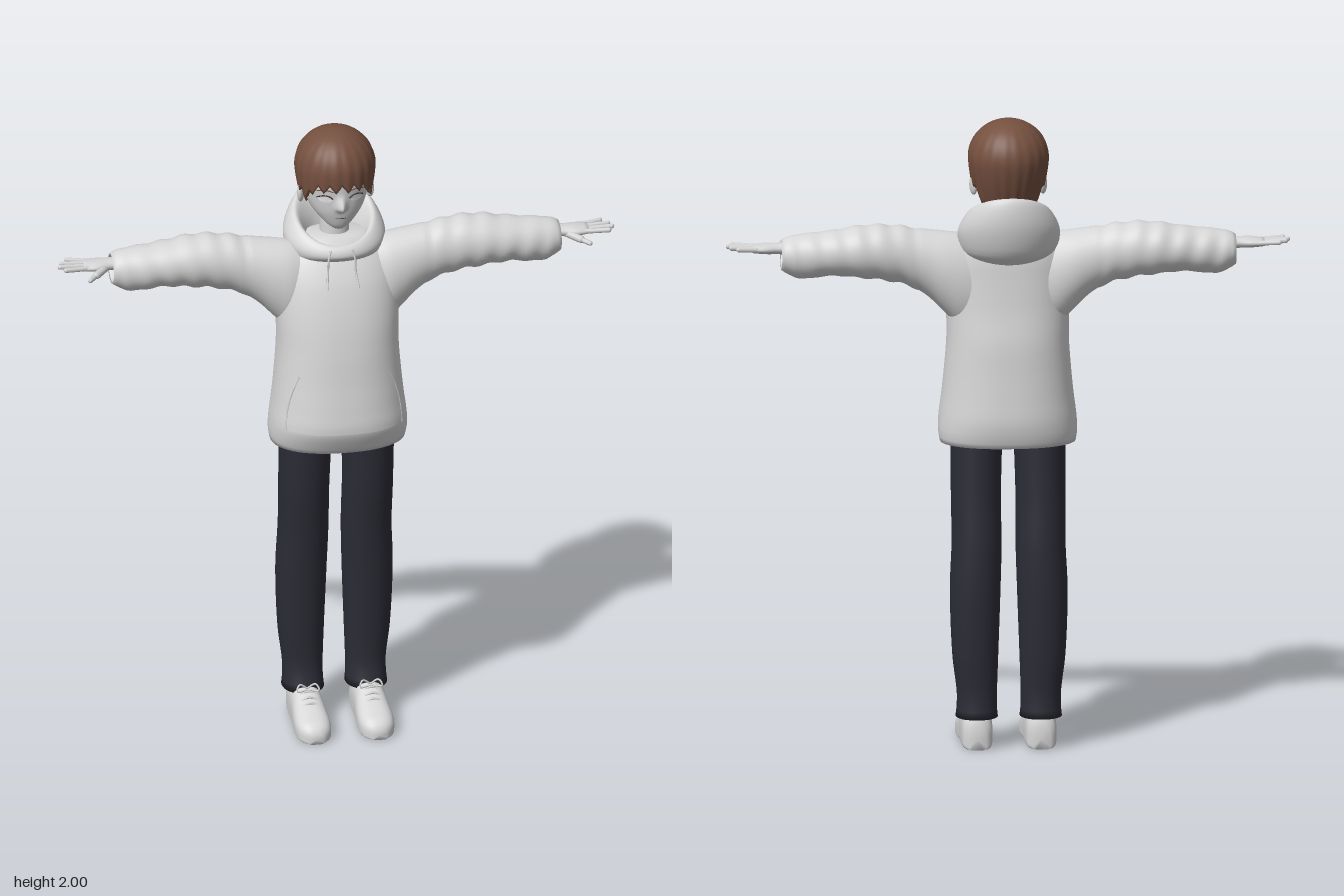
import * as THREE from 'three';

const V = (x, y, z) => new THREE.Vector3(x, y, z);
const mat = (name, color, double) => {
  const m = new THREE.MeshStandardMaterial({ color });
  m.name = name;
  if (double) m.side = THREE.DoubleSide;
  return m;
};

// Smooth interpolation of rows [t, a, b, ...] with increasing t
function sample(rows, t) {
  let i = 0;
  while (i < rows.length - 2 && t > rows[i + 1][0]) i++;
  const p = rows[i], q = rows[i + 1], o = rows[Math.max(i - 1, 0)], n = rows[Math.min(i + 2, rows.length - 1)];
  const h = q[0] - p[0], u = (t - p[0]) / h;
  return p.slice(1).map((a, k) => {
    const b = q[k + 1];
    const ma = (b - o[k + 1]) / (q[0] - o[0]) * h, mb = (n[k + 1] - a) / (n[0] - p[0]) * h;
    return a + u * (ma + u * (3 * (b - a) - 2 * ma - mb + u * (2 * (a - b) + ma + mb)));
  });
}
const steps = (rows, n) => Array.from({ length: n + 1 }, (_, i) => rows[0][0] + (rows.at(-1)[0] - rows[0][0]) * i / n);
const pow = (v, n) => Math.sign(v) * Math.abs(v) ** (2 / n);
const ring = (n, f) => Array.from({ length: n }, (_, j) => f(j / n * Math.PI * 2));

// Skin over closed rings, with optional end caps
function loft(rings, cap = true) {
  const n = rings[0].length, pts = rings.flat(), idx = [];
  for (let i = 0; i < rings.length - 1; i++) for (let j = 0; j < n; j++) {
    const a = i * n + j, b = i * n + (j + 1) % n;
    idx.push(a, b, b + n, a, b + n, a + n);
  }
  if (cap) for (const [start, flip] of [[0, true], [(rings.length - 1) * n, false]]) {
    const c = V(0, 0, 0);
    for (let j = 0; j < n; j++) c.addScaledVector(pts[start + j], 1 / n);
    for (let j = 0; j < n; j++) {
      const a = start + j, b = start + (j + 1) % n;
      flip ? idx.push(b, a, pts.length) : idx.push(a, b, pts.length);
    }
    pts.push(c);
  }
  const g = new THREE.BufferGeometry().setFromPoints(pts);
  g.setIndex(idx);
  g.computeVertexNormals();
  return g;
}

// Upright form from rows [y, halfWidth, zFront, zBack, xCentre]
function upright(rows, n, seg, e) {
  return steps(rows, n).map(y => {
    const [w, f, b, c = 0] = sample(rows, y);
    return ring(seg, t => V(c + w * pow(Math.sin(t), e), y, (f + b) / 2 + (f - b) / 2 * pow(Math.cos(t), e)));
  });
}
const frontZ = (rows, e, x, y) => {
  const [w, f, b] = sample(rows, y);
  return (f + b) / 2 + (f - b) / 2 * Math.max(0, 1 - Math.abs(x / w) ** e) ** (1 / e);
};
const tube = (pts, r) => new THREE.TubeGeometry(new THREE.CatmullRomCurve3(pts), 16, r, 6);
function capsule(a, b, r) {
  const d = b.clone().sub(a), g = new THREE.CapsuleGeometry(r, d.length(), 4, 8);
  g.applyQuaternion(new THREE.Quaternion().setFromUnitVectors(V(0, 1, 0), d.normalize()));
  const m = a.clone().lerp(b, 0.5);
  return g.translate(m.x, m.y, m.z);
}
function mirrored(g) {
  const m = g.clone().scale(-1, 1, 1), a = m.index.array;
  for (let i = 0; i < a.length; i += 3) [a[i], a[i + 1]] = [a[i + 1], a[i]];
  return m;
}

export function createModel() {
  const root = new THREE.Group();
  root.name = 'figure';
  const cloth = mat('light grey cloth', 0xd6d6d6, true), skin = mat('pale skin', 0xd3d3d3);
  const hairMat = mat('brown hair', 0x75503f, true), denim = mat('dark trousers', 0x2c2c36, true);
  const shoeMat = mat('light shoe', 0xd8d8d8), white = mat('eye white', 0xf2f2f2, true), line = mat('dark line', 0x3a3332, true);
  const add = (name, g, m) => {
    const mesh = new THREE.Mesh(g, m);
    mesh.name = name;
    root.add(mesh);
  };
  const pair = (name, g, m) => {
    add(name + 'Left', g, m);
    add(name + 'Right', mirrored(g), m);
  };

  // Hoodie body with a turned-in hem
  const body = [[0.97, 0.212, 0.155, -0.15], [1.0, 0.217, 0.172, -0.16], [1.05, 0.215, 0.192, -0.167], [1.12, 0.206, 0.186, -0.163],
    [1.2, 0.198, 0.174, -0.157], [1.3, 0.191, 0.16, -0.15], [1.4, 0.192, 0.14, -0.135], [1.5, 0.19, 0.11, -0.125],
    [1.56, 0.182, 0.082, -0.12], [1.61, 0.155, 0.05, -0.11], [1.65, 0.09, 0.02, -0.09]];
  const bodyRings = upright(body, 44, 64, 2.3);
  const lip = bodyRings[0].map(p => V(p.x * 0.93, 0.985, p.z * 0.92));
  const lining = bodyRings[0].map(p => V(p.x * 0.9, 1.06, p.z * 0.88));
  add('hoodieBody', loft([lining, lip, ...bodyRings]), cloth);

  // Sleeves with soft folds: rows [x, yTop, yBottom, zFront, zBack]
  const arm = [[0.08, 1.62, 1.3, 0.06, -0.1], [0.15, 1.635, 1.335, 0.075, -0.11], [0.2, 1.642, 1.385, 0.07, -0.11],
    [0.25, 1.648, 1.435, 0.06, -0.105], [0.3, 1.655, 1.467, 0.052, -0.103], [0.38, 1.666, 1.49, 0.05, -0.112],
    [0.46, 1.665, 1.5, 0.05, -0.117], [0.55, 1.651, 1.508, 0.044, -0.11], [0.65, 1.64, 1.5, 0.035, -0.1],
    [0.69, 1.633, 1.515, 0.026, -0.094], [0.71, 1.622, 1.528, 0.018, -0.086]];
  const armRings = steps(arm, 54).map(x => {
    const [t, b, f, k] = sample(arm, x);
    const fold = x > 0.28 && x < 0.68 ? 0.004 : 0;
    return ring(36, a => {
      const s = 1 + fold * 10 * Math.sin(x * 85 + 1.5 * Math.sin(a)) * (0.6 + 0.4 * Math.cos(a * 2 + x * 9));
      return V(x, (t + b) / 2 - (t - b) / 2 * s * Math.sin(a), (f + k) / 2 + (f - k) / 2 * s * Math.cos(a));
    });
  });
  for (const [x, s] of [[0.708, 0.85], [0.685, 0.8]])
    armRings.push(armRings[54].map(p => V(x, 1.575 + (p.y - 1.575) * s, -0.034 + (p.z + 0.034) * s)));
  pair('sleeve', loft(armRings), cloth);

  // Draped hood: rows [stage, halfWidth, zFront, zBack, yFront, yBack]
  const hood = [[0, 0.13, 0.06, -0.12, 1.58, 1.55], [1, 0.152, 0.086, -0.168, 1.6, 1.59], [2, 0.16, 0.09, -0.195, 1.615, 1.68],
    [3, 0.14, 0.082, -0.19, 1.632, 1.755], [4, 0.117, 0.066, -0.168, 1.638, 1.772], [5, 0.09, 0.045, -0.125, 1.6, 1.7], [6, 0.07, 0.02, -0.1, 1.56, 1.6]];
  add('hood', loft(steps(hood, 24).map(k => {
    const [w, f, b, yf, yb] = sample(hood, k);
    return ring(56, t => V(w * Math.sin(t), yf + (yb - yf) * (1 - Math.cos(t)) / 2, (f + b) / 2 + (f - b) / 2 * Math.cos(t)));
  }), false), cloth);

  // Drawstrings and front pocket
  const onBody = (x, y, d) => V(x, y, frontZ(body, 2.3, x, y) + d);
  pair('drawstring', tube([V(0.034, 1.63, 0.082), V(0.042, 1.6, 0.088), onBody(0.044, 1.56, 0.008), onBody(0.05, 1.51, 0.006)], 0.0035), cloth);
  const pocket = new THREE.PlaneGeometry(1, 1, 24, 12), pp = pocket.attributes.position;
  for (let i = 0; i < pp.count; i++) {
    const v = pp.getY(i) + 0.5, p = onBody(pp.getX(i) * 2 * (0.182 - 0.04 * v * v), 1.05 + 0.18 * v, 0.007);
    pp.setXYZ(i, p.x, p.y, p.z);
  }
  pocket.computeVertexNormals();
  add('pocket', pocket, cloth);
  pair('pocketSeam', tube([0, 0.35, 0.7, 1].map(v => onBody(0.183 - 0.04 * v * v, 1.05 + 0.18 * v, 0.005)), 0.003), cloth);

  // Trouser legs: rows [y, halfWidth, zFront, zBack, xCentre]
  const leg = [[0.1, 0.066, 0.03, -0.125, 0.1], [0.13, 0.063, 0.022, -0.122, 0.1], [0.18, 0.063, 0.012, -0.12, 0.1], [0.3, 0.072, 0.02, -0.13, 0.105],
    [0.5, 0.079, 0.04, -0.14, 0.105], [0.65, 0.078, 0.058, -0.138, 0.1], [0.8, 0.078, 0.082, -0.127, 0.101], [1.04, 0.082, 0.108, -0.115, 0.098]];
  pair('trouserLeg', loft(upright(leg, 40, 36, 2.2)), denim);
  add('trouserHips', loft(upright([[0.99, 0.14, 0.09, -0.1], [1.08, 0.17, 0.1, -0.11]], 2, 36, 2.3)), denim);

  // Shoes: rows [z, halfWidth, height]
  const shoe = [[-0.104, 0.028, 0.075], [-0.09, 0.044, 0.115], [-0.03, 0.05, 0.13], [0.03, 0.051, 0.118], [0.08, 0.055, 0.095],
    [0.14, 0.056, 0.073], [0.18, 0.045, 0.058], [0.2, 0.022, 0.035]];
  pair('shoe', loft(steps(shoe, 28).map(z => {
    const [w, h] = sample(shoe, z);
    return ring(32, t => {
      const c = Math.cos(t);
      return V(0.1 - w * pow(Math.sin(t), c < 0 ? 6 : 2.4), h * 0.4 + h * (c < 0 ? 0.4 : 0.6) * pow(c, c < 0 ? 6 : 2.4), z);
    });
  })), shoeMat);
  for (const [z, y] of [[0.045, 0.112], [0.068, 0.102], [0.09, 0.092]])
    pair('lace', tube([V(0.075, y - 0.008, z), V(0.1, y + 0.001, z), V(0.125, y - 0.008, z)], 0.004), shoeMat);
  for (const s of [-1, 1])
    pair('laceBow', tube([V(0.1, 0.12, 0.035), V(0.1 + s * 0.025, 0.135, 0.04), V(0.1 + s * 0.035, 0.117, 0.05), V(0.1, 0.118, 0.042)], 0.003), shoeMat);

  // Hands: rows [x, halfThickness, zFront, zBack]
  const palm = [[0.67, 0.02, 0.0, -0.058], [0.72, 0.018, 0.002, -0.055], [0.76, 0.017, 0.013, -0.064], [0.8, 0.012, 0.008, -0.064]];
  pair('palm', loft(steps(palm, 10).map(x => {
    const [h, f, b] = sample(palm, x);
    return ring(20, t => V(x, 1.595 - h * Math.sin(t), (f + b) / 2 + (f - b) / 2 * Math.cos(t)));
  })), skin);
  for (const [z0, z1, x1] of [[0.0, 0.012, 0.86], [-0.019, -0.015, 0.874], [-0.038, -0.041, 0.866], [-0.056, -0.067, 0.845]])
    pair('finger', capsule(V(0.785, 1.596, z0), V(x1, 1.6, z1), 0.008), skin);
  pair('thumbBase', capsule(V(0.73, 1.59, -0.01), V(0.768, 1.584, 0.032), 0.012), skin);
  pair('thumbTip', capsule(V(0.768, 1.584, 0.032), V(0.792, 1.58, 0.058), 0.008), skin);

  // Head with a drawn-out nose, neck and ears
  const head = [[1.688, 0.016, 0.045, 0.012], [1.7, 0.034, 0.056, -0.01], [1.725, 0.059, 0.066, -0.05], [1.755, 0.083, 0.074, -0.1],
    [1.8, 0.1, 0.078, -0.13], [1.86, 0.108, 0.082, -0.142], [1.92, 0.095, 0.062, -0.13], [1.97, 0.05, 0.02, -0.08]];
  const headRings = upright(head, 48, 80, 2.1);
  for (const p of headRings.flat())
    if (p.z > 0) p.z += 0.034 * Math.exp(-((p.x / 0.013) ** 2) - ((p.y - 1.774) / (p.y > 1.774 ? 0.028 : 0.011)) ** 2);
  add('head', loft(headRings), skin);
  add('neck', new THREE.CylinderGeometry(0.042, 0.05, 0.18, 28).translate(0, 1.66, -0.045), skin);
  pair('ear', new THREE.SphereGeometry(1, 16, 12).scale(0.011, 0.032, 0.02).rotateY(0.4).translate(0.109, 1.79, -0.03), skin);

  // Eyes, lashes, brows and mouth
  const onFace = (x, y, d) => V(x, y, frontZ(head, 2.1, x, y) + d);
  const eye = new THREE.CircleGeometry(1, 24), ep = eye.attributes.position;
  for (let i = 0; i < ep.count; i++) {
    const p = onFace(0.049 + ep.getX(i) * 0.021, 1.803 + ep.getY(i) * 0.011, 0.003);
    ep.setXYZ(i, p.x, p.y, p.z);
  }
  eye.computeVertexNormals();
  pair('eye', eye, white);
  pair('eyelash', tube([[0.026, 1.804], [0.037, 1.813], [0.054, 1.815], [0.073, 1.806]].map(([x, y]) => onFace(x, y, 0.002)), 0.002), line);
  pair('eyebrow', tube([[0.025, 1.829], [0.05, 1.835], [0.074, 1.828]].map(([x, y]) => onFace(x, y, 0.001)), 0.002), hairMat);
  add('mouth', tube([-0.016, 0, 0.016].map(x => onFace(x, 1.733, 0)), 0.0015), line);

  // Cropped hair: hairline height by angle from the front, cut into pointed locks
  const hairline = [[0, 1.835], [40, 1.828], [62, 1.792], [80, 1.806], [100, 1.792], [116, 1.742], [140, 1.705], [180, 1.692]];
  const hairRing = (v, shrink = 1, lift = 0) => ring(120, t => {
    const deg = Math.abs(t > Math.PI ? t - 2 * Math.PI : t) * 180 / Math.PI, back = (1 - Math.cos(t)) / 2;
    const lock = Math.abs(((t * 20 / (2 * Math.PI)) % 1) * 2 - 1);
    const low = sample(hairline, deg)[0] + 0.024 * lock - 0.005;
    const y = low + (2 - low) * Math.sin(v * Math.PI / 2);
    let r = y > 1.88 ? Math.sqrt(Math.max(0, 1 - ((y - 1.88) / 0.12) ** 2)) : 1 - (0.1 + 0.45 * back) * ((1.88 - y) / 0.2) ** 1.5;
    r *= shrink * (1 - 0.03 * lock * (1 - v));
    return V(0.127 * r * Math.sin(t), y + lift, -0.034 + 0.135 * r * Math.cos(t));
  });
  add('hair', loft([hairRing(0, 0.84, 0.012), ...Array.from({ length: 25 }, (_, i) => hairRing(i / 24))], false), hairMat);

  return root;
}
